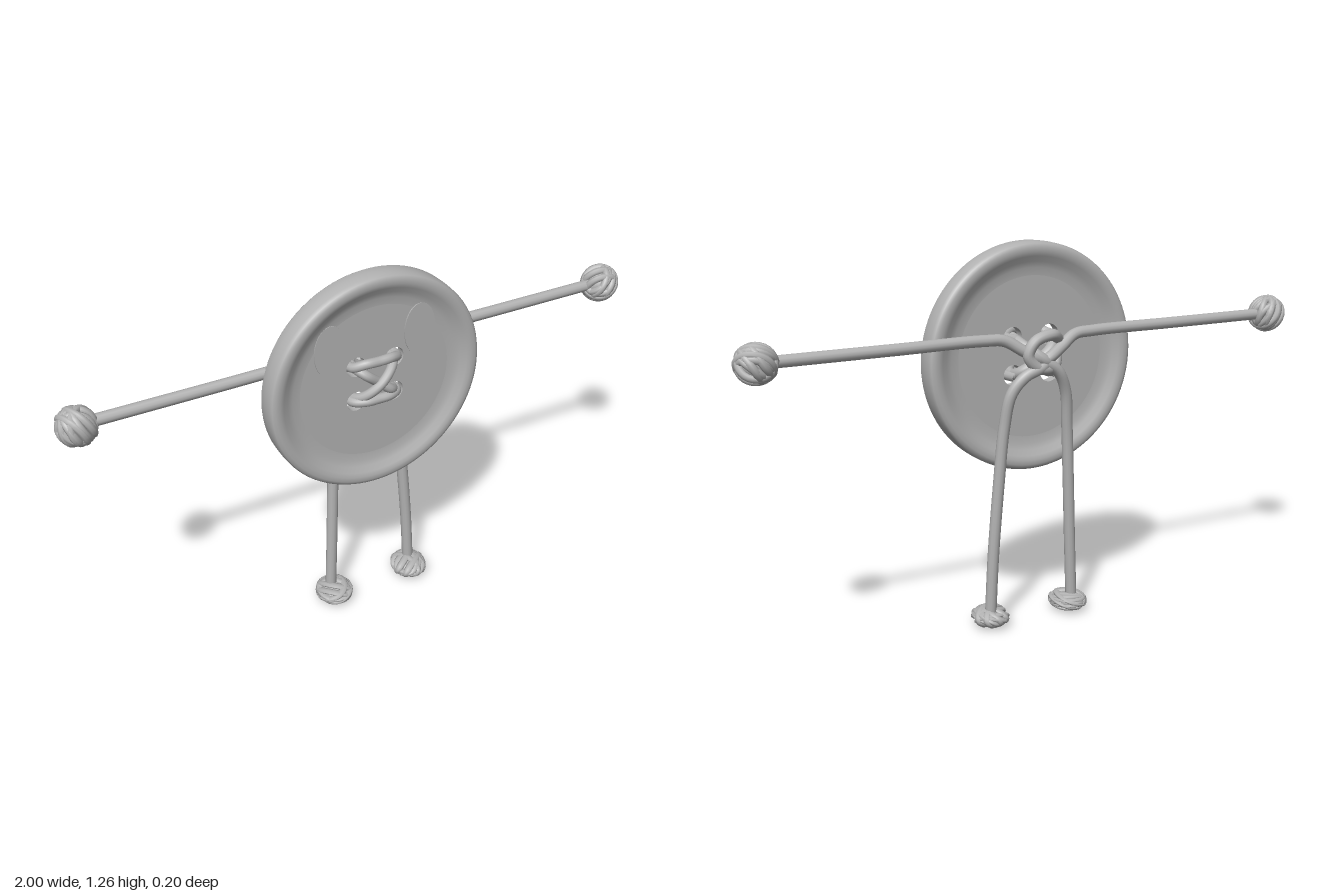
import * as THREE from 'three';

export function createModel() {
  const model = new THREE.Group();
  model.name = 'buttonFigure';
  const grey = new THREE.MeshStandardMaterial({ color: 0xb2b2b2 });
  grey.name = 'grey';
  const CY = 0.888, FRONT = 0.045, BACK = 0.01;
  const HX = 0.068, HIGH = 0.957, LOW = 0.833;

  const add = (name, geometry, parent = model) => {
    const mesh = new THREE.Mesh(geometry, grey);
    mesh.name = name;
    parent.add(mesh);
    return mesh;
  };
  const cord = (name, points, radius = 0.019, segments = 48) => {
    const curve = new THREE.CatmullRomCurve3(points.map(p => new THREE.Vector3(...p)));
    return add(name, new THREE.TubeGeometry(curve, segments, radius, 12));
  };

  // Button rim: rounded edge with a dished slope on both faces
  const profile = [
    [0.265, BACK], [0.29, 0.008], [0.31, 0.001], [0.328, -0.009], [0.342, -0.014], [0.357, -0.014],
    [0.368, -0.009], [0.374, 0.001], [0.375, 0.027], [0.374, 0.055], [0.368, 0.065],
    [0.357, 0.07], [0.342, 0.07], [0.328, 0.065], [0.31, 0.054], [0.29, 0.047], [0.265, FRONT],
  ].map(p => new THREE.Vector2(...p));
  const rim = add('buttonRim', new THREE.LatheGeometry(profile, 96).rotateX(Math.PI / 2));
  rim.position.y = CY;

  // Button plate with four thread holes
  const plate = new THREE.Shape().absarc(0, 0, 0.266, 0, Math.PI * 2);
  for (const x of [-HX, HX]) {
    for (const y of [LOW, HIGH]) {
      plate.holes.push(new THREE.Path().absarc(x, y - CY, 0.034, 0, Math.PI * 2, true));
    }
  }
  const disc = add('buttonPlate', new THREE.ExtrudeGeometry(plate, {
    depth: FRONT - BACK, bevelEnabled: false, curveSegments: 32,
  }));
  disc.position.set(0, CY, BACK);

  // Oval eyes
  for (const s of [-1, 1]) {
    const oval = new THREE.Shape().absellipse(0, 0, 0.055, 0.09, 0, Math.PI * 2);
    const eye = add(s > 0 ? 'leftEye' : 'rightEye', new THREE.ExtrudeGeometry(oval, {
      depth: 0.005, bevelEnabled: false, curveSegments: 24,
    }));
    eye.position.set(s * 0.158, 1.036, FRONT - 0.001);
  }

  // Front stitching: two bars and a cross
  for (const [name, y, bow] of [['upperStitch', HIGH, 0.016], ['lowerStitch', LOW, 0.004]]) {
    cord(name, [
      [-HX - 0.008, y, -0.03], [-HX - 0.012, y, 0.04], [-0.045, y + bow, 0.068], [0, y + bow, 0.071],
      [0.045, y + bow, 0.068], [HX + 0.012, y, 0.04], [HX + 0.008, y, -0.03],
    ], 0.016);
  }
  for (const s of [-1, 1]) {
    const lift = s > 0 ? 0.082 : 0.064;
    cord('crossStitch', [
      [-s * HX, LOW + 0.004, -0.03], [-s * HX, LOW + 0.008, 0.035], [-s * 0.045, 0.858, 0.066],
      [0, 0.895, lift], [s * 0.045, 0.932, 0.066], [s * HX, HIGH - 0.008, 0.035], [s * HX, HIGH - 0.004, -0.03],
    ], 0.016);
  }

  // Back lashing that ties the limbs together
  cord('backLoop', [
    [-HX, LOW, 0.02], [-0.06, 0.85, -0.035], [0, 0.89, -0.078], [0.05, 0.93, -0.05], [HX, HIGH, 0.02],
  ]);
  cord('backLoop', [
    [HX, LOW, 0.02], [0.06, 0.85, -0.03], [0, 0.89, -0.05], [-0.05, 0.93, -0.04], [-HX, HIGH, 0.02],
  ]);
  cord('backBow', [
    [-0.07, 0.95, -0.045], [-0.03, 0.97, -0.075], [0.035, 0.955, -0.08], [0.06, 0.91, -0.078],
    [0.02, 0.865, -0.08], [-0.04, 0.87, -0.07], [-0.06, 0.91, -0.05],
  ]);

  // Arms
  for (const s of [-1, 1]) {
    cord(s > 0 ? 'leftArm' : 'rightArm', [
      [-s * 0.035, 0.868, -0.05], [s * 0.015, 0.895, -0.075], [s * 0.07, 0.925, -0.062], [s * 0.13, 0.96, -0.047],
      [s * 0.2, 0.966, -0.045], [s * 0.5, 0.966, -0.045], [s * 0.9, 0.966, -0.045],
    ], 0.019, 80);
  }

  // Legs
  cord('leftLeg', [
    [-0.04, 0.9, -0.05], [0.01, 0.87, -0.08], [0.07, 0.845, -0.078], [0.115, 0.79, -0.066],
    [0.135, 0.68, -0.052], [0.152, 0.5, -0.045], [0.172, 0.25, -0.04], [0.182, 0.04, -0.036],
  ], 0.019, 80);
  cord('rightLeg', [
    [0.04, 0.9, -0.05], [0, 0.885, -0.075], [-0.05, 0.85, -0.078], [-0.085, 0.78, -0.066],
    [-0.1, 0.66, -0.052], [-0.11, 0.5, -0.045], [-0.122, 0.25, -0.038], [-0.132, 0.04, -0.034],
  ], 0.019, 80);

  // Knots: a core wrapped in tilted bands of cord
  const knot = (name, x, y, z, seed, scale) => {
    const group = new THREE.Group();
    group.name = name;
    add('knotCore', new THREE.SphereGeometry(0.048, 20, 14), group);
    let state = seed;
    const random = () => (state = (state * 16807) % 2147483647) / 2147483647;
    for (let i = 0; i < 5; i++) {
      const axis = new THREE.Vector3(random() - 0.5, random() - 0.5, random() - 0.5).normalize();
      const turn = new THREE.Quaternion().setFromUnitVectors(new THREE.Vector3(0, 0, 1), axis);
      for (const offset of [-0.014, 0.014]) {
        const strand = add('knotStrand', new THREE.TorusGeometry(0.046 + 0.002 * (i % 3), 0.012, 8, 28), group);
        strand.quaternion.copy(turn);
        strand.position.copy(axis).multiplyScalar(offset);
      }
    }
    group.position.set(x, y, z);
    group.scale.set(...scale);
    model.add(group);
  };
  knot('leftHand', 0.935, 0.965, -0.042, 9176, [1.07, 1.03, 1]);
  knot('rightHand', -0.935, 0.965, -0.042, 52711, [1.07, 1.03, 1]);
  knot('leftFoot', 0.175, 0.034, -0.02, 31337, [1.05, 0.55, 1.18]);
  knot('rightFoot', -0.126, 0.034, -0.02, 77431, [1.05, 0.55, 1.18]);

  return model;
}
